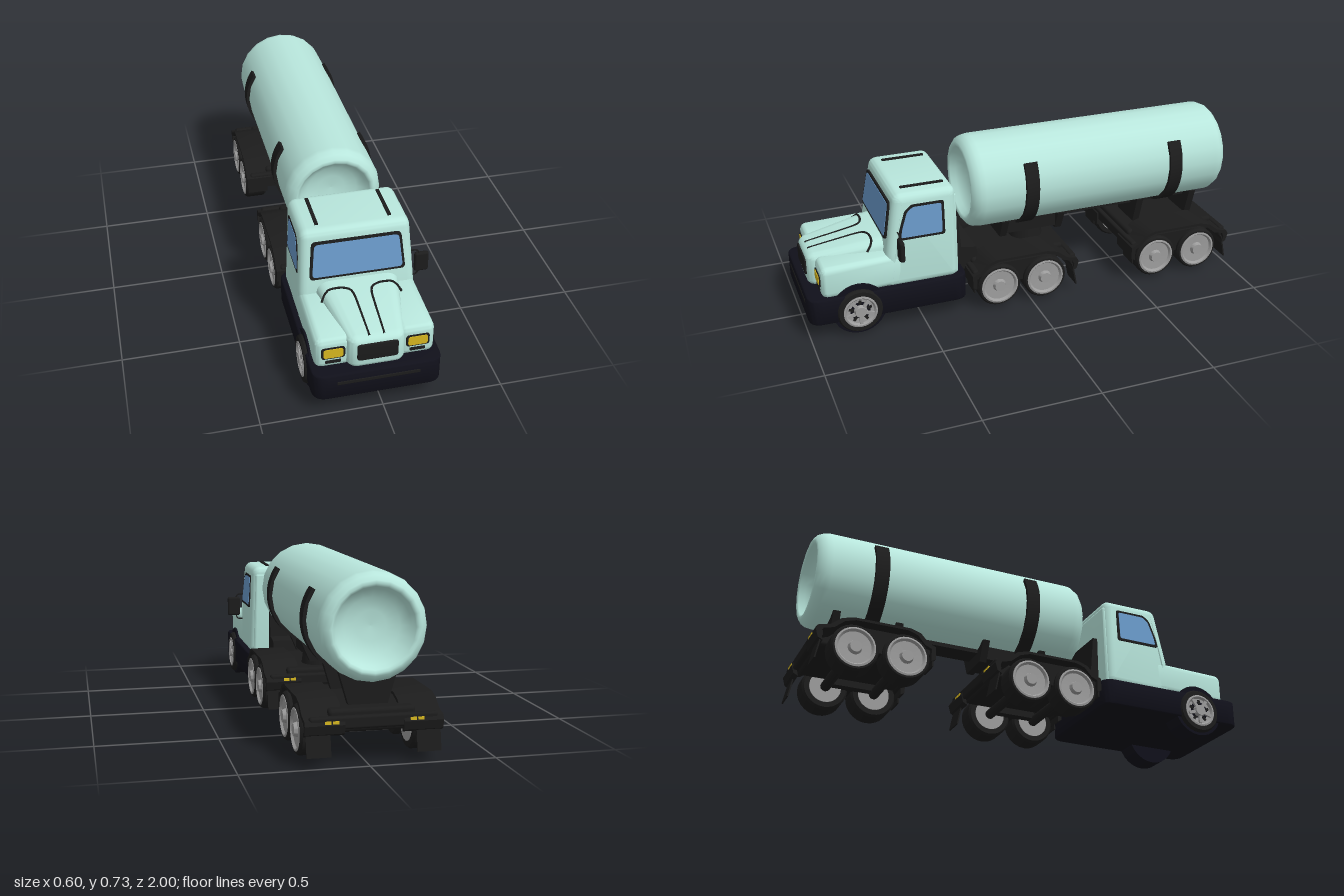
import * as THREE from 'three';
import { toCreasedNormals } from 'three/addons/utils/BufferGeometryUtils.js';
import { RoundedBoxGeometry } from 'three/addons/geometries/RoundedBoxGeometry.js';

const paint = (color) => new THREE.MeshStandardMaterial({ color });
const MINT = paint(0xb8e6dc), BLACK = paint(0x1c1c1c), NAVY = paint(0x10101a);
const GLASS = paint(0x6a9aca), YELLOW = paint(0xd8b820), STEEL = paint(0x9c9c9c);

function add(parent, name, geometry, material, x = 0, y = 0, z = 0) {
  const mesh = new THREE.Mesh(geometry, material);
  mesh.name = name;
  mesh.position.set(x, y, z);
  parent.add(mesh);
  return mesh;
}
const box = (w, h, d) => new THREE.BoxGeometry(w, h, d);
const rounded = (w, h, d, r) => new RoundedBoxGeometry(w, h, d, 3, r);
const polygon = (pts) => new THREE.Shape(pts.map(([x, y]) => new THREE.Vector2(x, y)));

// Extrusion centred on its depth, keeping the drawn outline as its widest size
function extrude(shape, depth, bevel = 0, curveSegments = 8) {
  const g = new THREE.ExtrudeGeometry(shape, {
    depth: depth - 2 * bevel, bevelEnabled: bevel > 0, bevelSize: bevel, bevelThickness: bevel,
    bevelOffset: -bevel, bevelSegments: 4, curveSegments,
  });
  g.translate(0, 0, bevel - depth / 2);
  return toCreasedNormals(g, 0.6);
}
// Side profile given as [z, y], extruded across x
const sideExtrude = (shape, width, bevel) => extrude(shape, width, bevel).rotateY(-Math.PI / 2);

// Polygon with cut corners rounded by quadratic curves
function roundPoly(pts, r) {
  const s = new THREE.Shape();
  const v = pts.map(([x, y]) => new THREE.Vector2(x, y));
  v.forEach((p, i) => {
    const a = v[(i + v.length - 1) % v.length], b = v[(i + 1) % v.length];
    const p0 = p.clone().add(a.clone().sub(p).setLength(r));
    const p1 = p.clone().add(b.clone().sub(p).setLength(r));
    if (i === 0) s.moveTo(p0.x, p0.y); else s.lineTo(p0.x, p0.y);
    s.quadraticCurveTo(p.x, p.y, p1.x, p1.y);
  });
  s.closePath();
  return s;
}
const rect = (w, h, r) => roundPoly([[-w / 2, -h / 2], [w / 2, -h / 2], [w / 2, h / 2], [-w / 2, h / 2]], r);

// Move every vertex by a rule, then rebuild the normals
function deform(g, rule) {
  const p = g.attributes.position, v = new THREE.Vector3();
  for (let i = 0; i < p.count; i++) {
    rule(v.fromBufferAttribute(p, i));
    p.setXYZ(i, v.x, v.y, v.z);
  }
  return toCreasedNormals(g, 0.6);
}
const cabTaper = (v) => { v.x *= 1 - 0.25 * Math.max(0, v.y - 0.32); };

function lathe(pts, segments) {
  return new THREE.LatheGeometry(pts.map(([r, y]) => new THREE.Vector2(r, y)), segments);
}

// Wheel with its outer face towards the given side; starts at |x| = 0.172
function wheel(parent, side, z, hubR, spokes) {
  const g = new THREE.Group();
  g.name = spokes ? 'frontWheel' : 'bogieWheel';
  const lay = (geo) => toCreasedNormals(geo.rotateZ(-Math.PI / 2), 0.6);
  add(g, 'tyre', lay(lathe([[0, 0], [0.092, 0], [0.1, 0.01], [0.1, 0.09], [0.093, 0.1],
    [hubR, 0.1], [hubR, 0.088], [0, 0.088]], 28)), BLACK);
  add(g, 'hub', lay(lathe([[hubR, 0.088], [hubR, 0.102], [hubR - 0.008, 0.104], [hubR - 0.016, 0.094],
    [0.03, 0.092], [0.024, 0.108], [0, 0.108]], 28)), STEEL);
  add(g, 'innerHub', lay(lathe([[0, -0.003], [0.07, -0.003], [0.07, 0.01]], 24)), STEEL);
  for (let i = 0; i < spokes; i++) {
    const a = (i / spokes) * Math.PI * 2;
    const slot = add(g, 'hubSlot', box(0.006, 0.02, 0.012), BLACK, 0.093, Math.cos(a) * 0.042, Math.sin(a) * 0.042);
    slot.rotation.x = a;
    const spoke = add(g, 'spoke', box(0.014, 0.04, 0.014), STEEL, 0.096,
      Math.cos(a + 0.63) * 0.04, Math.sin(a + 0.63) * 0.04);
    spoke.rotation.x = a + 0.63;
  }
  g.position.set(side * 0.172, 0.1, z);
  if (side < 0) g.rotation.y = Math.PI;
  parent.add(g);
}

// Twin-axle bogie with arched fenders, lights and mud flaps
function bogie(parent, z) {
  const g = new THREE.Group();
  g.name = 'bogie';
  g.position.z = z;
  parent.add(g);
  add(g, 'deck', rounded(0.34, 0.07, 0.44, 0.015), BLACK, 0, 0.165, -0.015);
  add(g, 'lightBar', rounded(0.5, 0.05, 0.03, 0.01), BLACK, 0, 0.155, -0.25);
  add(g, 'frontBar', rounded(0.5, 0.05, 0.03, 0.01), BLACK, 0, 0.155, 0.21);
  const outer = [[0.232, 0.11], [0.232, 0.165], [0.2, 0.178], [0.165, 0.215], [0.12, 0.229], [-0.12, 0.229],
    [-0.17, 0.215], [-0.215, 0.18], [-0.262, 0.168], [-0.272, 0.15], [-0.262, 0.115]];
  const inner = outer.map(([a, y]) => [a * 0.92, y - 0.011]).reverse();
  for (const s of [-1, 1]) {
    add(g, 'fender', sideExtrude(polygon([...outer, ...inner].reverse()), 0.155), BLACK, s * 0.192);
    add(g, 'wheelDivider', box(0.12, 0.1, 0.2), BLACK, s * 0.19, 0.15, 0);
    const flap = add(g, 'mudFlap', box(0.095, 0.11, 0.006), BLACK, s * 0.215, 0.082, -0.255);
    flap.rotation.x = 0.2;
    add(g, 'frontFlap', box(0.095, 0.04, 0.006), BLACK, s * 0.215, 0.1, 0.222);
    for (const dx of [0, 0.03]) {
      add(g, 'tailLight', box(0.024, 0.018, 0.008), YELLOW, s * (0.15 + dx), 0.156, -0.266);
    }
    for (const dz of [0.108, -0.108]) wheel(g, s, dz, 0.085, 0);
  }
  for (const dz of [0.108, -0.108]) {
    add(g, 'axle', new THREE.CylinderGeometry(0.022, 0.022, 0.36, 12).rotateZ(Math.PI / 2), BLACK, 0, 0.1, dz);
  }
}

function buildCab(parent) {
  const cab = new THREE.Group();
  cab.name = 'cab';
  parent.add(cab);
  // Skirt and bumper
  add(cab, 'skirt', extrude(rect(0.53, 0.7, 0.06), 0.118, 0.008).rotateX(-Math.PI / 2), NAVY, 0, 0.121, 0.65);
  add(cab, 'bumperStrip', rounded(0.34, 0.017, 0.008, 0.003), BLACK, 0, 0.139, 1.0 - 0.002);
  // Cabin shell
  const shell = roundPoly([[0.335, 0.17], [0.67, 0.17], [0.65, 0.33], [0.605, 0.592], [0.335, 0.592]], 0.035);
  add(cab, 'cabin', deform(sideExtrude(shell, 0.49, 0.035), cabTaper), MINT);
  add(cab, 'rearPanel', deform(rounded(0.46, 0.38, 0.03, 0.012).translate(0, 0.37, 0.347), cabTaper), MINT);
  // Side windows reach through the shell and show on both sides
  const win = [[0.392, 0.39], [0.6, 0.39], [0.592, 0.435], [0.565, 0.52], [0.535, 0.545], [0.392, 0.545]];
  const pane = win.map(([a, y]) => [0.49 + (a - 0.49) * 0.88, 0.467 + (y - 0.467) * 0.86]);
  add(cab, 'sideWindowFrames', deform(sideExtrude(roundPoly(win, 0.012), 0.494), cabTaper), BLACK);
  add(cab, 'sideWindows', deform(sideExtrude(roundPoly(pane, 0.01), 0.497), cabTaper), GLASS);
  // Windscreen
  const screen = (w0, w1, h) => roundPoly([[-w0, -h], [w0, -h], [w1, h], [-w1, h]], 0.018);
  const frame = add(cab, 'windscreenFrame', extrude(screen(0.201, 0.186, 0.083), 0.016), BLACK, 0, 0.466, 0.628);
  const glass = add(cab, 'windscreen', extrude(screen(0.19, 0.176, 0.073), 0.02), GLASS, 0, 0.466, 0.628);
  frame.rotation.x = glass.rotation.x = -0.17;

  // Hood narrows and drops towards the nose
  const hood = rounded(0.22, 0.2, 0.38, 0.035).translate(0, 0.27, 0.78);
  add(cab, 'hood', deform(hood, (v) => {
    const t = (0.97 - v.z) / 0.38;
    const up = THREE.MathUtils.clamp((v.y - 0.17) / 0.2, 0, 1);
    v.x *= 1 + t * (0.95 - 0.35 * up);
    v.y = 0.17 + up * (0.145 + 0.06 * t);
  }), MINT);
  add(cab, 'grille', extrude(rect(0.166, 0.078, 0.014), 0.02, 0.004), BLACK, 0, 0.255, 0.966);
  const arch = new THREE.CylinderGeometry(0.118, 0.118, 0.1, 28).rotateZ(Math.PI / 2);
  for (const s of [-1, 1]) {
    add(cab, 'frontFender', deform(rounded(0.15, 0.145, 0.36, 0.03), (v) => {
      if (v.z < 0) v.y += 0.008;
    }), MINT, s * 0.17, 0.24, 0.757);
    add(cab, 'headlightFrame', extrude(roundPoly([[-0.048, -0.027], [0.048, -0.027], [0.048, 0.027],
      [-0.048, 0.027]], 0.014), 0.014), BLACK, s * 0.172, 0.247, 0.934);
    add(cab, 'headlight', extrude(rect(0.08, 0.042, 0.012), 0.02), YELLOW, s * 0.172, 0.247, 0.934);
    add(cab, 'lowerVent', extrude(rect(0.064, 0.014, 0.005), 0.012), BLACK, s * 0.172, 0.203, 0.934);
    add(cab, 'roofStrip', box(0.014, 0.012, 0.19), BLACK, s * 0.152, 0.592, 0.465);
    add(cab, 'wheelArch', arch, NAVY, s * 0.204, 0.106, 0.785);
    wheel(cab, s, 0.785, 0.074, 5);
    // Hood accent line
    const line = new THREE.CatmullRomCurve3([[0.03, 0.316, 0.95], [0.035, 0.349, 0.75], [0.045, 0.357, 0.705],
      [0.08, 0.361, 0.69], [0.13, 0.359, 0.69], [0.152, 0.343, 0.7], [0.168, 0.322, 0.72]]
      .map(([x, y, z]) => new THREE.Vector3(s * x, y, z)), false, 'catmullrom', 0.3);
    add(cab, 'hoodLine', new THREE.TubeGeometry(line, 28, 0.005, 6), BLACK);
  }
  // Door mirror on the left side only
  add(cab, 'mirror', rounded(0.061, 0.093, 0.022, 0.01), BLACK, 0.285, 0.368, 0.6);
  for (const [y, end] of [[0.428, 0.405], [0.305, 0.33]]) {
    const arm = new THREE.CatmullRomCurve3([[0.23, y], [0.262, y], [0.272, (y + end) / 2], [0.272, end]]
      .map(([x, h]) => new THREE.Vector3(x, h, 0.6)));
    add(cab, 'mirrorArm', new THREE.TubeGeometry(arm, 12, 0.0035, 6), BLACK);
  }
  // Block behind the cabin and coupling to the bogie
  const rear = [[0.34, 0.15], [0.34, 0.42], [0.31, 0.42], [0.295, 0.26], [0.225, 0.25], [0.21, 0.15]];
  add(cab, 'rearBlock', sideExtrude(polygon(rear), 0.31), BLACK);
  add(cab, 'coupling', box(0.2, 0.08, 0.22), BLACK, 0, 0.16, 0.27);
}

function buildTank(parent) {
  const tank = new THREE.Group();
  tank.name = 'tankAssembly';
  parent.add(tank);
  // Barrel with rolled rims around dished ends
  const end = [[0, 0.545], [0.06, 0.549], [0.11, 0.562], [0.145, 0.59], [0.157, 0.613], [0.168, 0.62],
    [0.18, 0.617], [0.198, 0.602], [0.208, 0.582], [0.211, 0.56]];
  const profile = [...end.map(([r, h]) => [r, -h]), ...end.slice().reverse()];
  add(tank, 'barrel', lathe(profile, 20).rotateX(Math.PI / 2), MINT, 0, 0.506, -0.37);
  // Straps hugging the lower part of the barrel
  const strap = new THREE.Shape();
  strap.absarc(0, 0, 0.224, 0.6, Math.PI - 0.6, true);
  strap.absarc(0, 0, 0.2, Math.PI - 0.6, 0.6, false);
  const strapGeometry = extrude(strap, 0.06, 0, 20);
  for (const z of [-0.02, -0.72]) add(tank, 'strap', strapGeometry, BLACK, 0, 0.506, z);
  // Cradles and under-frame
  const cradle = (y0) => extrude(polygon([[-0.075, y0], [0.075, y0], [0.115, 0.325], [-0.115, 0.325]]), 0.032);
  for (const [z, y0] of [[0.07, 0.235], [-0.2, 0.235], [-0.6, 0.19], [-0.875, 0.19]]) {
    add(tank, 'cradle', cradle(y0), BLACK, 0, 0, z);
  }
  add(tank, 'frontBeam', box(0.16, 0.06, 0.26), BLACK, 0, 0.28, -0.065);
  add(tank, 'turntable', new THREE.CylinderGeometry(0.07, 0.08, 0.07, 20), BLACK, 0, 0.225, -0.065);
  add(tank, 'spine', box(0.1, 0.03, 0.7), BLACK, 0, 0.3, -0.53);
}

export function createModel() {
  const root = new THREE.Group();
  root.name = 'tankTruck';
  const truck = new THREE.Group();
  truck.name = 'truck';
  truck.position.x = -0.02;
  root.add(truck);
  buildCab(truck);
  buildTank(truck);
  bogie(truck, 0.048);
  bogie(truck, -0.722);
  return root;
}
